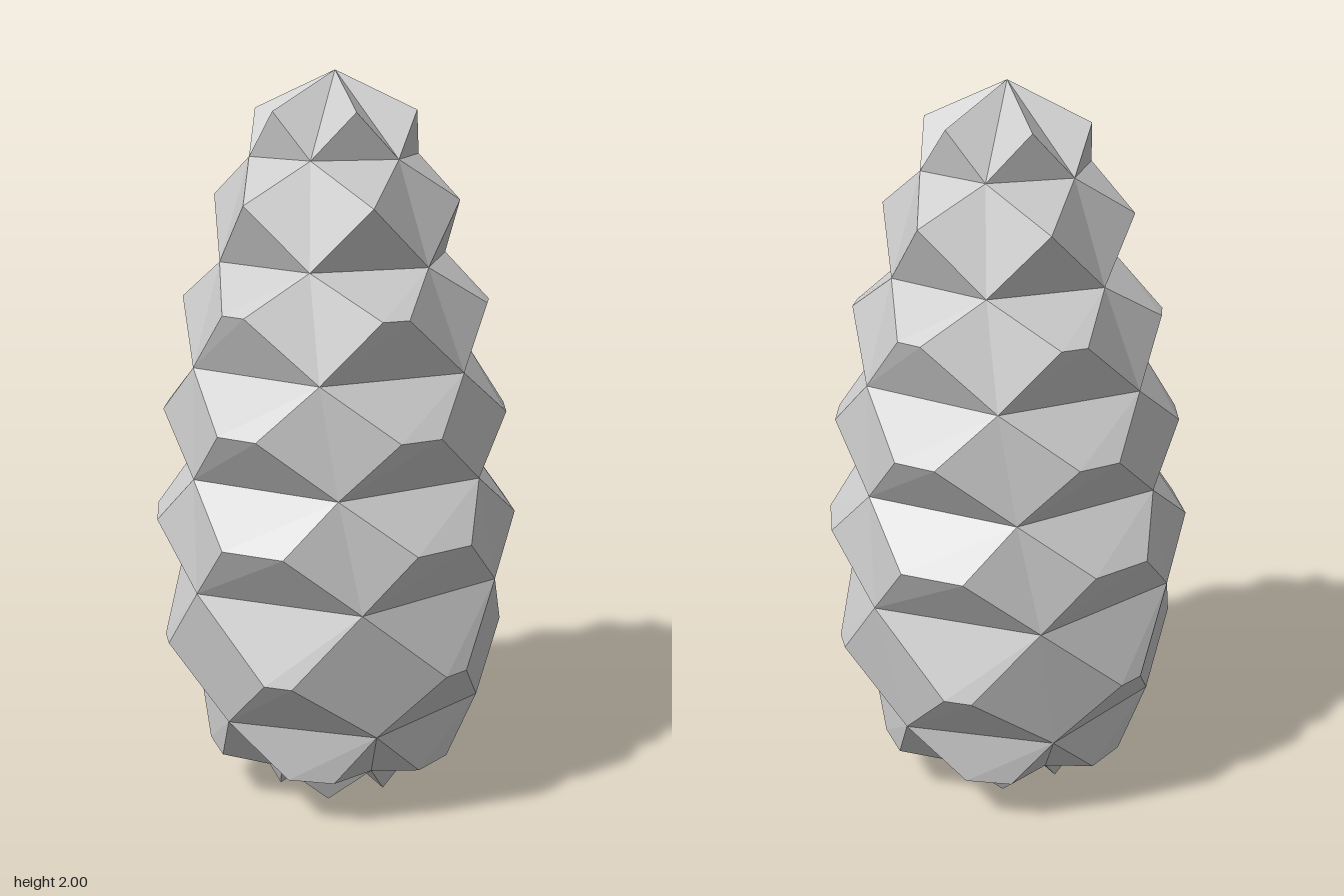
import * as THREE from 'three';

const SCALES = 6; // scales around each tier

// Valley rings between tiers: radius, height, twist in degrees
const rings = [
  [0, 0.08, -62], [0.25, 0.115, -62], [0.41, 0.29, -70], [0.467, 0.655, -77],
  [0.436, 0.95, -84.5], [0.41, 1.24, -91], [0.32, 1.51, -97],
  [0.232, 1.78, -101], [0, 2, -102],
];

// Scale tips of each tier: radius, height, half width of the tip in degrees
const tips = [
  [0.17, 0, 0], [0.36, 0.14, 10], [0.48, 0.455, 4.5], [0.5, 0.81, 10],
  [0.47, 1.1, 7.2], [0.415, 1.4, 5], [0.337, 1.67, 0], [0.222, 1.9, 0],
];

const tierNames = [
  'stemEndScales', 'baseScales', 'lowerScales', 'widestScales',
  'middleScales', 'upperScales', 'neckScales', 'crownScales',
];

// Point on a circle; the angle runs counter-clockwise seen from above
function polar(radius, y, degrees) {
  const a = THREE.MathUtils.degToRad(degrees);
  return new THREE.Vector3(radius * Math.cos(a), y, -radius * Math.sin(a));
}

// One tier: scales with a blunt or pointed tip and folded diamonds between them
function tierGeometry(lower, upper, [tipR, tipY, half]) {
  const step = 360 / SCALES;
  const middle = (lower[2] + upper[2]) / 2 + step / 2;
  const low = (i) => polar(lower[0], lower[1], lower[2] + i * step);
  const up = (i) => polar(upper[0], upper[1], upper[2] + i * step);
  const tip = (i, side) => polar(tipR, tipY, middle + i * step + side * half);

  const points = [];
  const triangle = (a, b, c) => {
    if (new THREE.Triangle(a, b, c).getArea() > 1e-6) points.push(a, b, c);
  };
  for (let i = 0; i < SCALES; i++) {
    const a = tip(i, -1), b = tip(i, 1), previous = tip(i - 1, 1);
    // underside of the scale
    triangle(low(i), low(i + 1), b);
    triangle(low(i), b, a);
    // top of the scale
    triangle(a, b, up(i + 1));
    triangle(a, up(i + 1), up(i));
    // diamond between neighbouring scales
    triangle(low(i), a, up(i));
    triangle(low(i), up(i), previous);
  }
  const geometry = new THREE.BufferGeometry().setFromPoints(points);
  geometry.computeVertexNormals();
  return geometry;
}

export function createModel() {
  const cone = new THREE.Group();
  cone.name = 'pineCone';
  const material = new THREE.MeshStandardMaterial({ color: 0xcccccc, flatShading: true });
  tips.forEach((tier, i) => {
    const mesh = new THREE.Mesh(tierGeometry(rings[i], rings[i + 1], tier), material);
    mesh.name = tierNames[i];
    cone.add(mesh);
  });
  return cone;
}
